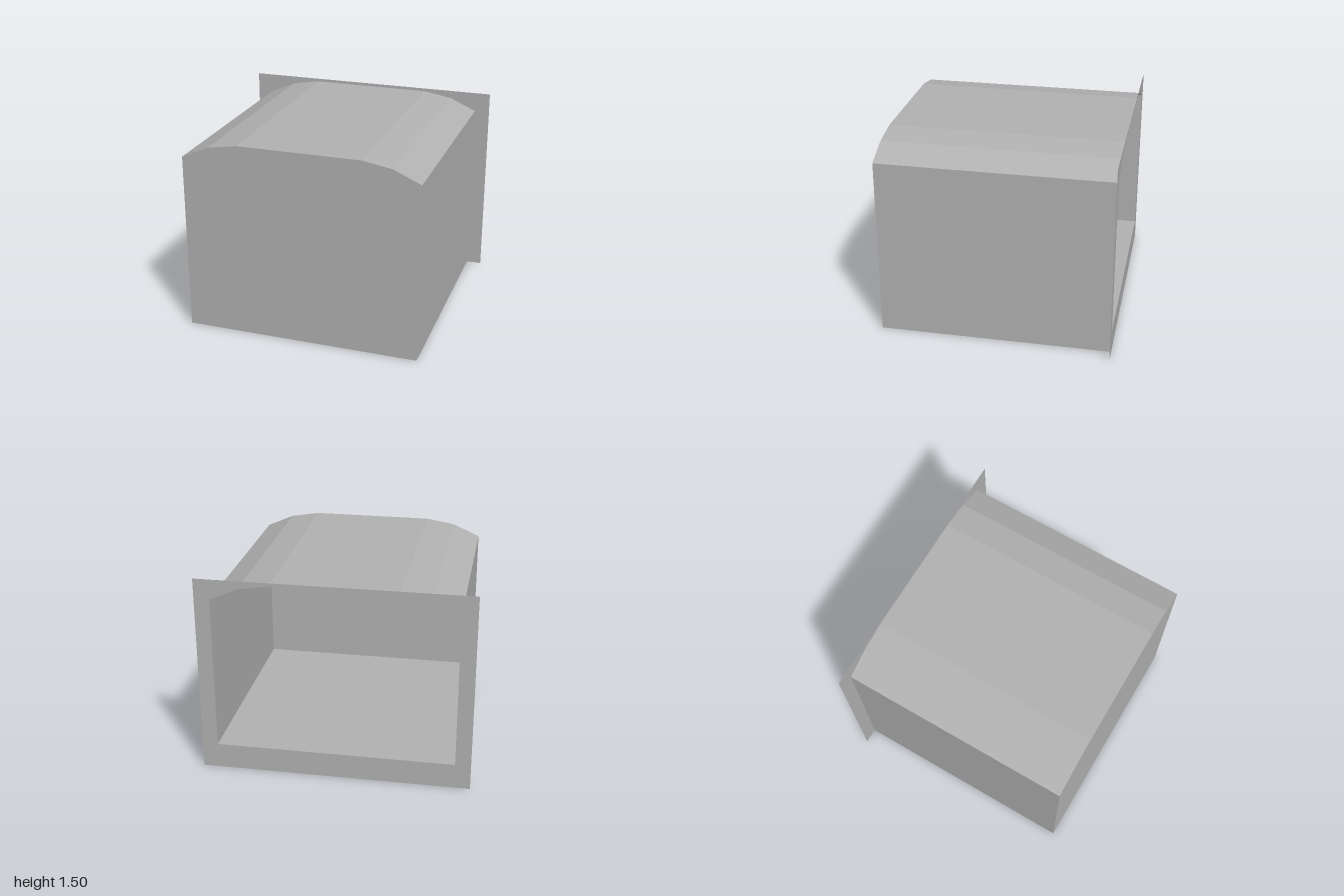
import * as THREE from 'three';

const FRONT = 0.865, BACK = -0.865, FLOOR = 0.19, HALF = 0.885;

// Arched outline, from the lower left corner over the roof to the lower right
function archPoints(bottom) {
  const half = [[HALF, bottom], [HALF, 1.35], [0.68, 1.44], [0.46, 1.477]];
  const right = half.map(([x, y]) => new THREE.Vector2(x, y));
  const left = half.map(([x, y]) => new THREE.Vector2(-x, y)).reverse();
  return [...right, ...left];
}

// Flat-shaded sheet that sweeps an open outline from back to front
function sheet(points) {
  const pos = [];
  for (let i = 0; i < points.length - 1; i++) {
    const a = points[i], b = points[i + 1];
    pos.push(a.x, a.y, FRONT, a.x, a.y, BACK, b.x, b.y, BACK);
    pos.push(a.x, a.y, FRONT, b.x, b.y, BACK, b.x, b.y, FRONT);
  }
  const geometry = new THREE.BufferGeometry();
  geometry.setAttribute('position', new THREE.Float32BufferAttribute(pos, 3));
  geometry.computeVertexNormals();
  return geometry;
}

export function createModel() {
  const group = new THREE.Group();
  const grey = new THREE.MeshStandardMaterial({ color: 0xb2b2b2, side: THREE.DoubleSide, flatShading: true });
  grey.name = 'grey';

  const add = (name, geometry, z = 0) => {
    const mesh = new THREE.Mesh(geometry, grey);
    mesh.name = name;
    mesh.position.z = z;
    group.add(mesh);
  };

  // Side walls and faceted roof
  const arch = archPoints(0);
  add('leftWall', sheet(arch.slice(0, 2)));
  add('roof', sheet(arch.slice(1, -1)));
  add('rightWall', sheet(arch.slice(-2)));

  // Closed front
  add('frontWall', new THREE.ShapeGeometry(new THREE.Shape(arch)), FRONT);

  // Raised floor, open underneath
  add('floor', sheet([new THREE.Vector2(-HALF, FLOOR), new THREE.Vector2(HALF, FLOOR)]));

  // Rear flange around the arched opening
  const flange = new THREE.Shape([[-1, 0], [1, 0], [1, 1.5], [-1, 1.5]].map(([x, y]) => new THREE.Vector2(x, y)));
  flange.holes.push(new THREE.Path(archPoints(FLOOR)));
  const flangeGeometry = new THREE.ShapeGeometry(flange);
  flangeGeometry.rotateY(Math.PI);
  add('rearFlange', flangeGeometry, BACK);

  return group;
}
